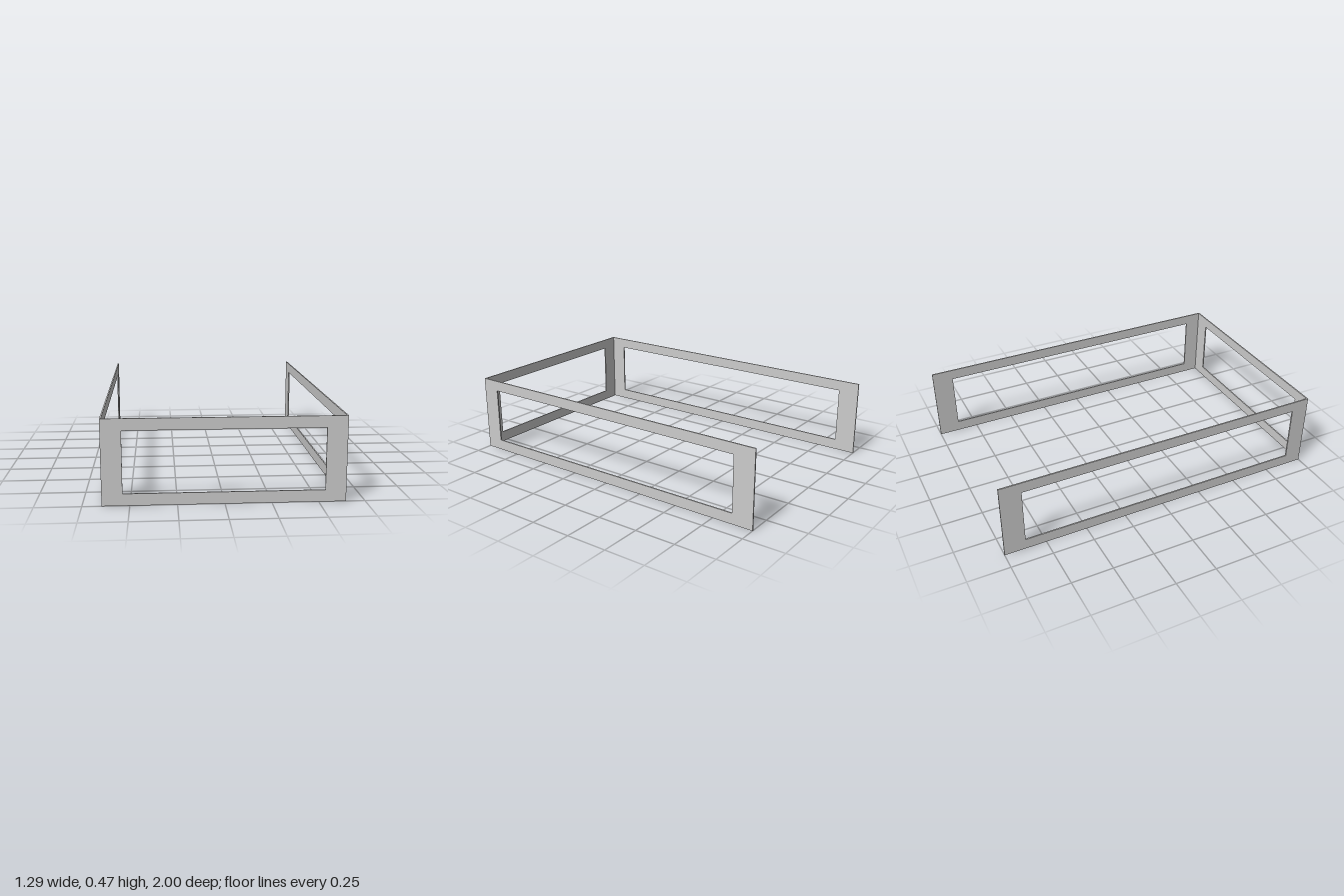
import * as THREE from 'three';

const HALF_W = 0.647, HEIGHT = 0.467, T = 0.008;
const HOLE_Y0 = 0.065, HOLE_Y1 = 0.403;

// Thin upright panel with a rectangular window
function framePanel(u0, u1, hole0, hole1) {
  const shape = new THREE.Shape();
  shape.moveTo(u0, 0).lineTo(u1, 0).lineTo(u1, HEIGHT).lineTo(u0, HEIGHT).closePath();
  const hole = new THREE.Path();
  hole.moveTo(hole0, HOLE_Y0).lineTo(hole0, HOLE_Y1).lineTo(hole1, HOLE_Y1).lineTo(hole1, HOLE_Y0).closePath();
  shape.holes.push(hole);
  return new THREE.ExtrudeGeometry(shape, { depth: T, bevelEnabled: false });
}

export function createModel() {
  const group = new THREE.Group();
  group.name = 'openFrame';
  const material = new THREE.MeshStandardMaterial({ color: 0xcccccc });

  // Front frame spans the full width
  const front = new THREE.Mesh(framePanel(-HALF_W, HALF_W, -0.537, 0.535), material);
  front.name = 'frontFrame';
  front.position.z = 1 - T;
  group.add(front);

  // Side frames run back from the front frame; the back is open
  const sideGeometry = framePanel(-1, 1 - T, -0.872, 0.892).rotateY(-Math.PI / 2);
  for (const [name, x] of [['leftFrame', HALF_W], ['rightFrame', -HALF_W + T]]) {
    const side = new THREE.Mesh(sideGeometry, material);
    side.name = name;
    side.position.x = x;
    group.add(side);
  }
  return group;
}
